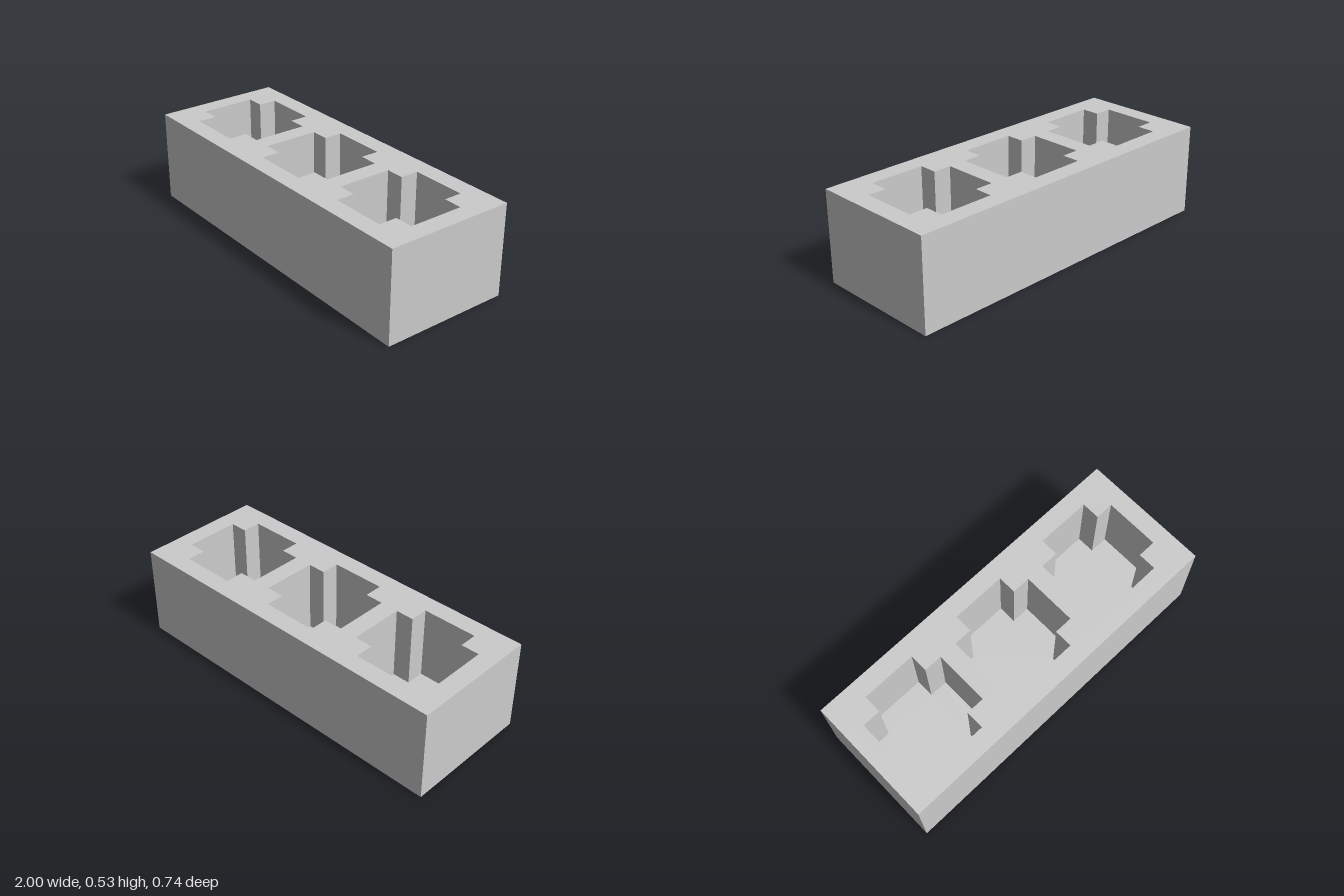
import * as THREE from 'three';
import { mergeGeometries } from 'three/addons/utils/BufferGeometryUtils.js';

// The block is laid out on a 19 x 7 x 5 module grid.
const U = 2 / 19;
const LENGTH = 19 * U, DEPTH = 7 * U, HEIGHT = 5 * U, FLOOR = U;

// Outlines in plan, drawn in XY and laid flat afterwards.
const rect = (w, d) => [[-w, -d], [-w, d], [w, d], [w, -d]]
  .map(([x, y]) => new THREE.Vector2(x / 2, y / 2)); // clockwise: walls face outward

// Square with a notch in each corner; counter-clockwise: walls face inward.
function cross(cx) {
  const a = 2.5 * U, b = 1.5 * U, points = [];
  const corner = [[a, -b], [a, b], [b, b]];
  for (let i = 0; i < 4; i++) {
    for (const [x, y] of corner) {
      const p = new THREE.Vector2(x, y).rotateAround(new THREE.Vector2(), i * Math.PI / 2);
      points.push(p.add(new THREE.Vector2(cx, 0)));
    }
  }
  return points;
}

// Flat face at height y, facing up or down.
function cap(outline, y, up, holes = []) {
  const shape = new THREE.Shape(outline);
  shape.holes = holes.map((h) => new THREE.Path(h));
  const g = new THREE.ShapeGeometry(shape).toNonIndexed();
  g.deleteAttribute('uv');
  return g.rotateX(up ? -Math.PI / 2 : Math.PI / 2).translate(0, y, 0);
}

// Vertical walls along an outline, facing to the left of its direction.
function walls(outline, y0, y1) {
  const pos = [];
  outline.forEach((a, i) => {
    const b = outline[(i + 1) % outline.length];
    const at = (p, y) => [p.x, y, -p.y];
    pos.push(...at(b, y0), ...at(a, y0), ...at(a, y1));
    pos.push(...at(b, y0), ...at(a, y1), ...at(b, y1));
  });
  const g = new THREE.BufferGeometry();
  g.setAttribute('position', new THREE.Float32BufferAttribute(pos, 3));
  g.computeVertexNormals();
  return g;
}

export function createModel() {
  const model = new THREE.Group();
  model.name = 'pocketBlock';
  const material = new THREE.MeshStandardMaterial({ color: 0xcccccc, flatShading: true });
  const add = (name, parts) => {
    const mesh = new THREE.Mesh(mergeGeometries(parts), material);
    mesh.name = name;
    model.add(mesh);
  };

  const outer = rect(LENGTH, DEPTH);
  const pockets = [-6 * U, 0, 6 * U].map(cross);

  // Outer body: sides, underside and pierced top
  add('body', [
    walls(outer, 0, HEIGHT),
    cap(outer, 0, false),
    cap(outer, HEIGHT, true, pockets),
  ]);

  // Three blind pockets, each with its walls and floor
  const names = ['rightPocket', 'middlePocket', 'leftPocket'];
  pockets.forEach((p, i) => add(names[i], [walls(p, FLOOR, HEIGHT), cap(p, FLOOR, true)]));

  return model;
}
